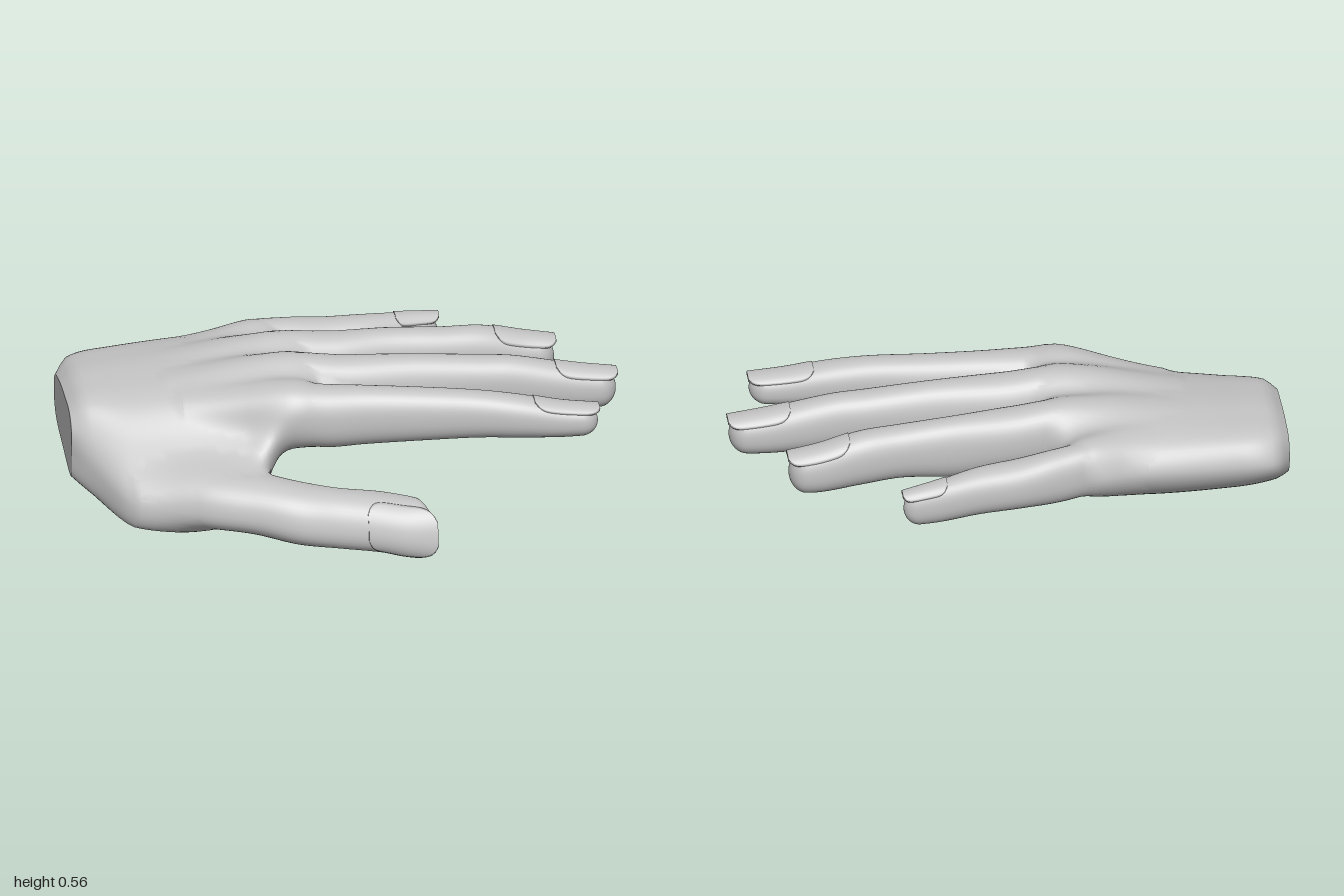
import * as THREE from 'three';

// Palm outlines as [x, then ten z, y pairs]: little-finger side, over the back, thumb side, underside
const PALM = [
  [-1, -.37, .32, -.35, .385, -.25, .41, -.12, .41, 0, .395, .05, .35, .06, .26, .05, .165, -.15, .19, -.33, .245],
  [-.95, -.455, .34, -.41, .425, -.27, .455, -.12, .455, .02, .43, .09, .35, .14, .24, .13, .14, -.12, .175, -.37, .24],
  [-.8, -.485, .35, -.44, .44, -.28, .472, -.12, .47, .05, .437, .17, .345, .355, .18, .34, .075, 0, .15, -.4, .235],
  [-.4, -.52, .37, -.47, .455, -.29, .505, -.1, .51, .1, .475, .22, .37, .36, .24, .33, .10, .05, .19, -.43, .25],
  [-.25, -.515, .38, -.46, .455, -.26, .495, -.04, .51, .15, .49, .24, .43, .25, .36, .2, .28, 0, .26, -.41, .28],
  [-.1, -.27, .40, -.26, .45, -.2, .49, -.04, .51, .13, .49, .2, .45, .21, .38, .18, .32, 0, .3, -.22, .32],
];
const PALM_END = -0.1, PALM_STEPS = 60;

// Digits as rows of [x, z, y, half width, half height]; their roots lie inside the palm and form the knuckles.
// The nail covers an x range and aims at an angle around the digit; lean shears the section sideways.
const UP = Math.PI / 2;
const DIGITS = {
  indexFinger: { nail: [.65, .885], aim: UP, lean: 0, rows: [
    [-.6, .06, .39, .05, .05], [-.25, .16, .415, .09, .108], [-.1, .177, .40, .09, .115],
    [.05, .19, .40, .08, .108], [.25, .213, .40, .074, .098], [.45, .243, .40, .07, .087],
    [.6, .262, .39, .07, .078], [.75, .277, .375, .065, .064], [.88, .286, .37, .06, .054]] },
  middleFinger: { nail: [.77, .995], aim: UP, lean: 0, rows: [
    [-.65, -.06, .40, .05, .05], [-.25, -.03, .435, .082, .118], [0, -.022, .42, .09, .116],
    [.25, -.02, .405, .078, .12], [.5, -.02, .405, .074, .1], [.62, -.018, .395, .072, .1],
    [.85, -.013, .367, .071, .082], [.99, -.01, .36, .065, .068]] },
  ringFinger: { nail: [.59, .815], aim: UP, lean: 0, rows: [
    [-.65, -.23, .39, .05, .05], [-.25, -.24, .43, .08, .112], [0, -.25, .415, .087, .112],
    [.2, -.27, .405, .075, .115], [.4, -.28, .405, .072, .1], [.55, -.293, .395, .074, .1],
    [.7, -.305, .37, .072, .088], [.81, -.306, .362, .067, .075]] },
  littleFinger: { nail: [.27, .435], aim: UP, lean: 0, rows: [
    [-.6, -.36, .36, .04, .04], [-.3, -.455, .395, .068, .095], [-.15, -.488, .385, .073, .1],
    [0, -.512, .375, .078, .09], [.15, -.535, .37, .073, .085], [.3, -.575, .36, .058, .077],
    [.43, -.602, .355, .046, .066]] },
  thumb: { nail: [0, .248], aim: 0.1, lean: -0.22, rows: [
    [-.8, .22, .17, .09, .06], [-.6, .325, .185, .122, .095], [-.4, .40, .18, .128, .1],
    [-.25, .47, .16, .111, .103], [-.1, .5, .14, .093, .1], [.05, .51, .12, .097, .1],
    [.13, .522, .105, .097, .102], [.2, .55, .1, .076, .1], [.245, .585, .1, .045, .09]] },
};
const ROUND = 0.86; // below 1 makes the digit sections slightly square

// Smooth interpolation of station rows; column 0 is the position along x
function sample(rows, x) {
  let i = 0;
  while (i < rows.length - 2 && x > rows[i + 1][0]) i++;
  const a = rows[i], b = rows[i + 1], p = rows[i - 1] || a, q = rows[i + 2] || b;
  const h = b[0] - a[0], t = (x - a[0]) / h, t2 = t * t, t3 = t2 * t;
  return a.map((v, k) => (2 * t3 - 3 * t2 + 1) * v + (3 * t2 - 2 * t3) * b[k]
    + (t3 - 2 * t2 + t) * h * (b[k] - p[k]) / (b[0] - p[0]) + (t3 - t2) * h * (q[k] - v) / (q[0] - a[0]));
}

// Rounding factor over the last stretch of a part
const roundEnd = (x, end, length) =>
  Math.max(0.01, Math.sqrt(Math.max(0, 1 - Math.max(0, (x - end + length) / length) ** 2)));

// Skin over equal rings of [x, y, z] points, with flat caps at both ends
function skin(rings) {
  const n = rings[0].length, pos = rings.flat(2), index = [];
  for (let i = 0; i < rings.length - 1; i++) {
    for (let j = 0; j < n; j++) {
      const a = i * n + j, b = i * n + (j + 1) % n;
      index.push(a, a + n, b, b, a + n, b + n);
    }
  }
  [rings[0], rings[rings.length - 1]].forEach((ring, end) => {
    const start = pos.length / 3;
    pos.push(...ring.flat(), ...[0, 1, 2].map(k => ring.reduce((s, p) => s + p[k], 0) / n));
    for (let j = 0; j < n; j++) {
      const a = start + j, b = start + (j + 1) % n;
      index.push(start + n, end ? b : a, end ? a : b);
    }
  });
  const g = new THREE.BufferGeometry();
  g.setAttribute('position', new THREE.Float32BufferAttribute(pos, 3));
  g.setIndex(index);
  g.computeVertexNormals();
  return g;
}

// Point on a digit section at an angle, pushed outward by an offset
function onSection([x, z, y, rz, ry], lean, angle, offset = 0) {
  const pow = v => Math.sign(v) * Math.abs(v) ** ROUND;
  const dy = (ry + offset) * pow(Math.sin(angle));
  return [x, y + dy, z + (rz + offset) * pow(Math.cos(angle)) + lean * dy];
}

const span = ({ rows }) => [rows[0][0], rows[rows.length - 1][0]];

function digitSection(digit, x) {
  const [, z, y, rz, ry] = sample(digit.rows, x), f = roundEnd(x, span(digit)[1], 0.06);
  return [x, z, y, rz * f, ry * f];
}

function digitRings(digit) {
  const [x0, x1] = span(digit);
  return Array.from({ length: 73 }, (_, i) => {
    const s = digitSection(digit, x0 + (x1 - x0) * Math.sin(i / 72 * UP));
    return Array.from({ length: 40 }, (_, j) => onSection(s, digit.lean, j / 40 * Math.PI * 2));
  });
}

// Nail plate following the digit's surface and standing out past its rounded tip
function nailRings({ rows, nail: [x0, x1], aim, lean }) {
  return Array.from({ length: 25 }, (_, i) => {
    const t = i / 24, s = sample(rows, x0 + (x1 - x0) * t), ring = [];
    const half = 0.96 * (1 - 0.55 * Math.abs(2 * t - 1) ** 7);
    for (let j = -8; j <= 8; j++) ring.push(onSection(s, lean, aim + half * j / 8, 0.004));
    for (let j = 8; j >= -8; j--) ring.push(onSection(s, lean, aim + half * j / 8, -0.008));
    return ring;
  });
}

const palmRings = () => Array.from({ length: PALM_STEPS + 1 }, (_, i) => {
  const x = -1 + (PALM_END + 1) * Math.sin(i / PALM_STEPS * UP);
  const row = sample(PALM, x), f = roundEnd(x, PALM_END, 0.1), pts = [];
  for (let k = 19; k > 0; k -= 2) {
    const z = -0.06 + (row[k] + 0.06) * (0.75 + 0.25 * f);
    pts.push(new THREE.Vector3(x, 0.4 + (row[k + 1] - 0.4) * f, z));
  }
  const curve = new THREE.CatmullRomCurve3(pts, true);
  return Array.from({ length: 80 }, (_, j) => curve.getPoint(j / 80).toArray());
});

// Approximate signed distance to a digit
function digitDistance(digit, [x, y, z]) {
  const [x0, x1] = span(digit), e = 2 / ROUND;
  const [, cz, cy, rz, ry] = digitSection(digit, Math.min(Math.max(x, x0), x1));
  const dz = z - cz - digit.lean * (y - cy);
  const r = (Math.abs(dz / rz) ** e + Math.abs((y - cy) / ry) ** e) ** (1 / e);
  return (r - 1) * Math.min(rz, ry) + Math.max(0, x0 - x, x - x1);
}

// Signed distance to the palm outline at the point's x
function palmDistance(rings, [x, y, z]) {
  const u = Math.min(Math.max((x + 1) / (PALM_END + 1), 0), 1);
  const s = Math.asin(u) / UP * PALM_STEPS, i = Math.min(Math.floor(s), PALM_STEPS - 1);
  const pts = rings[i].map((p, j) => [1, 2].map(k => p[k] + (rings[i + 1][j][k] - p[k]) * (s - i)));
  let best = Infinity, inside = false;
  pts.forEach(([ay, az], j) => {
    const [by, bz] = pts[(j + 1) % pts.length], dy = by - ay, dz = bz - az;
    const t = ((y - ay) * dy + (z - az) * dz) / (dy * dy + dz * dz + 1e-12);
    const c = Math.min(Math.max(t, 0), 1);
    best = Math.min(best, Math.hypot(y - ay - dy * c, z - az - dz * c));
    if ((ay > y) !== (by > y) && z < az + dz * (y - ay) / dy) inside = !inside;
  });
  return (inside ? -best : best) + Math.max(0, x - PALM_END);
}

// Smooth union of two distances, filling the creases between parts
const smoothMin = (a, b, k = 0.065) => Math.min(a, b) - Math.max(k - Math.abs(a - b), 0) ** 2 / (4 * k);

// Move vertices just below the blended surface out onto it, so that parts flow into each other
function blend(geometry, distance) {
  const { position, normal } = geometry.attributes, point = new THREE.Vector3();
  const gradient = p => new THREE.Vector3(...[0, 1, 2].map(k => {
    const shifted = e => distance(p.toArray().map((v, j) => (j === k ? v + e : v)));
    return (shifted(0.004) - shifted(-0.004)) / 0.008;
  }));
  for (let i = 0; i < position.count; i++) {
    point.fromBufferAttribute(position, i);
    let d = distance(point.toArray());
    if (d > -0.001 || d < -0.06) continue;
    for (let n = 0; n < 3; n++) {
      const g = gradient(point), length = g.length() + 1e-6;
      point.addScaledVector(g, Math.min(Math.max(-d / length, -0.04), 0.04) / length);
      d = distance(point.toArray());
    }
    position.setXYZ(i, ...point);
    normal.setXYZ(i, ...gradient(point).normalize());
  }
  return geometry;
}

export function createModel() {
  const model = new THREE.Group();
  model.name = 'hand';
  const grey = new THREE.MeshStandardMaterial({ name: 'light grey', color: 0xc4c4c4 });
  const add = (name, geometry) => {
    const mesh = new THREE.Mesh(geometry, grey);
    mesh.name = name;
    model.add(mesh);
  };
  const rings = palmRings();
  const distance = p => Object.values(DIGITS)
    .reduce((d, digit) => smoothMin(d, digitDistance(digit, p)), palmDistance(rings, p));

  add('palm', blend(skin(rings), distance));
  for (const [name, digit] of Object.entries(DIGITS)) {
    add(name, blend(skin(digitRings(digit)), distance));
    add(name + 'Nail', skin(nailRings(digit)));
  }
  return model;
}
